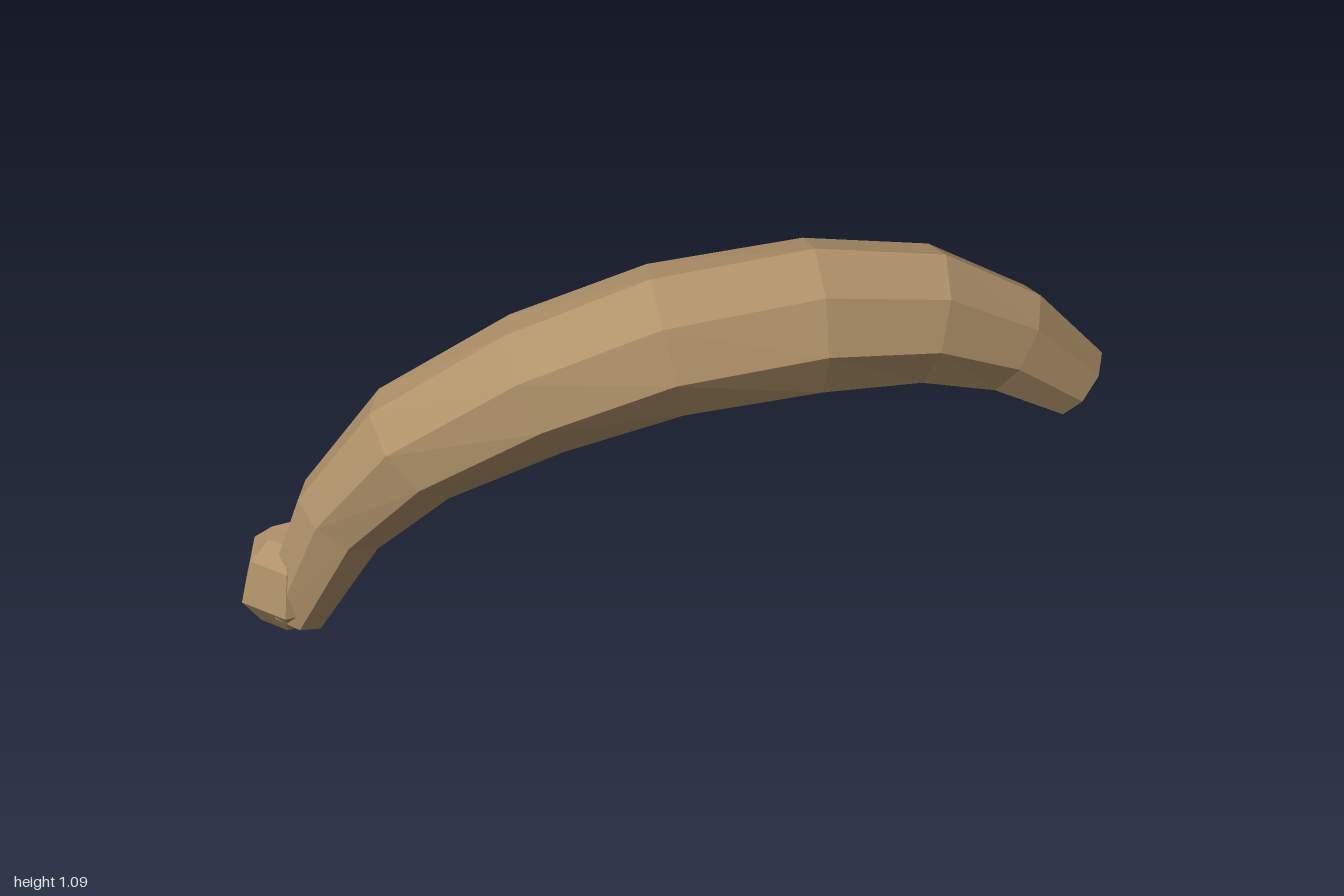
import * as THREE from 'three';

const SIDES = 8;

// Stations along the curved body: x, y, z, radius
const STATIONS = [
  [0.935, 0.62, 0.355, 0.097],
  [0.775, 0.76, 0.31, 0.14],
  [0.565, 0.865, 0.27, 0.175],
  [0.285, 0.905, 0.22, 0.195],
  [-0.07, 0.875, 0.13, 0.193],
  [-0.37, 0.765, 0.025, 0.182],
  [-0.63, 0.565, -0.13, 0.16],
  [-0.775, 0.33, -0.24, 0.125],
  [-0.875, 0.045, -0.30, 0.085],
];

// Unindexed copy with one normal per face
function faceted(geometry) {
  const flat = geometry.index ? geometry.toNonIndexed() : geometry;
  flat.computeVertexNormals();
  return flat;
}

// Octagonal rings set square to the curve, joined in loops and capped
function bodyGeometry() {
  const centres = STATIONS.map(([x, y, z]) => new THREE.Vector3(x, y, z));
  const last = centres.length - 1;
  const positions = [];
  const index = [];

  centres.forEach((c, i) => {
    const before = centres[Math.max(i - 1, 0)];
    const after = centres[Math.min(i + 1, last)];
    const tangent = new THREE.Vector3()
      .addVectors(
        c.clone().sub(before).normalize(),
        after.clone().sub(c).normalize()
      )
      .normalize();
    // Sideways axis dips slightly towards the narrow end
    const dip = -0.19 * THREE.MathUtils.clamp((i - 3) / 3, 0, 1);
    const side = new THREE.Vector3(-0.28, dip, 0.95);
    side.addScaledVector(tangent, -side.dot(tangent)).normalize();
    const up = new THREE.Vector3().crossVectors(tangent, side);
    const r = STATIONS[i][3];
    for (let j = 0; j < SIDES; j++) {
      const a = (j / SIDES) * Math.PI * 2;
      const p = c.clone()
        .addScaledVector(up, r * Math.cos(a))
        .addScaledVector(side, r * Math.sin(a));
      positions.push(p.x, p.y, p.z);
    }
  });

  const startCentre = positions.length / 3;
  for (const c of [centres[0], centres[last]]) positions.push(c.x, c.y, c.z);

  for (let j = 0; j < SIDES; j++) {
    const k = (j + 1) % SIDES;
    for (let i = 0; i < last; i++) {
      const a = i * SIDES + j, b = i * SIDES + k;
      const c = b + SIDES, d = a + SIDES;
      index.push(a, d, b, b, d, c);
    }
    index.push(startCentre, j, k);
    index.push(startCentre + 1, last * SIDES + k, last * SIDES + j);
  }

  const geometry = new THREE.BufferGeometry();
  geometry.setAttribute('position', new THREE.Float32BufferAttribute(positions, 3));
  geometry.setIndex(index);
  return faceted(geometry);
}

// Six-sided rounded knob
function knobGeometry() {
  const profile = [
    [0, 0.01], [0.08, 0.01], [0.132, 0.075], [0.11, 0.19], [0.058, 0.24], [0, 0.24],
  ].map(([r, y]) => new THREE.Vector2(r, y));
  return faceted(new THREE.LatheGeometry(profile, 6, Math.PI / 2));
}

export function createModel() {
  const group = new THREE.Group();
  group.name = 'curvedHorn';
  const tan = new THREE.MeshStandardMaterial({ color: 0xb0926a });
  tan.name = 'tan';

  const body = new THREE.Mesh(bodyGeometry(), tan);
  body.name = 'curvedBody';

  const knob = new THREE.Mesh(knobGeometry(), tan);
  knob.name = 'endKnob';
  knob.position.set(-0.868, 0, -0.335);

  group.add(body, knob);
  return group;
}
